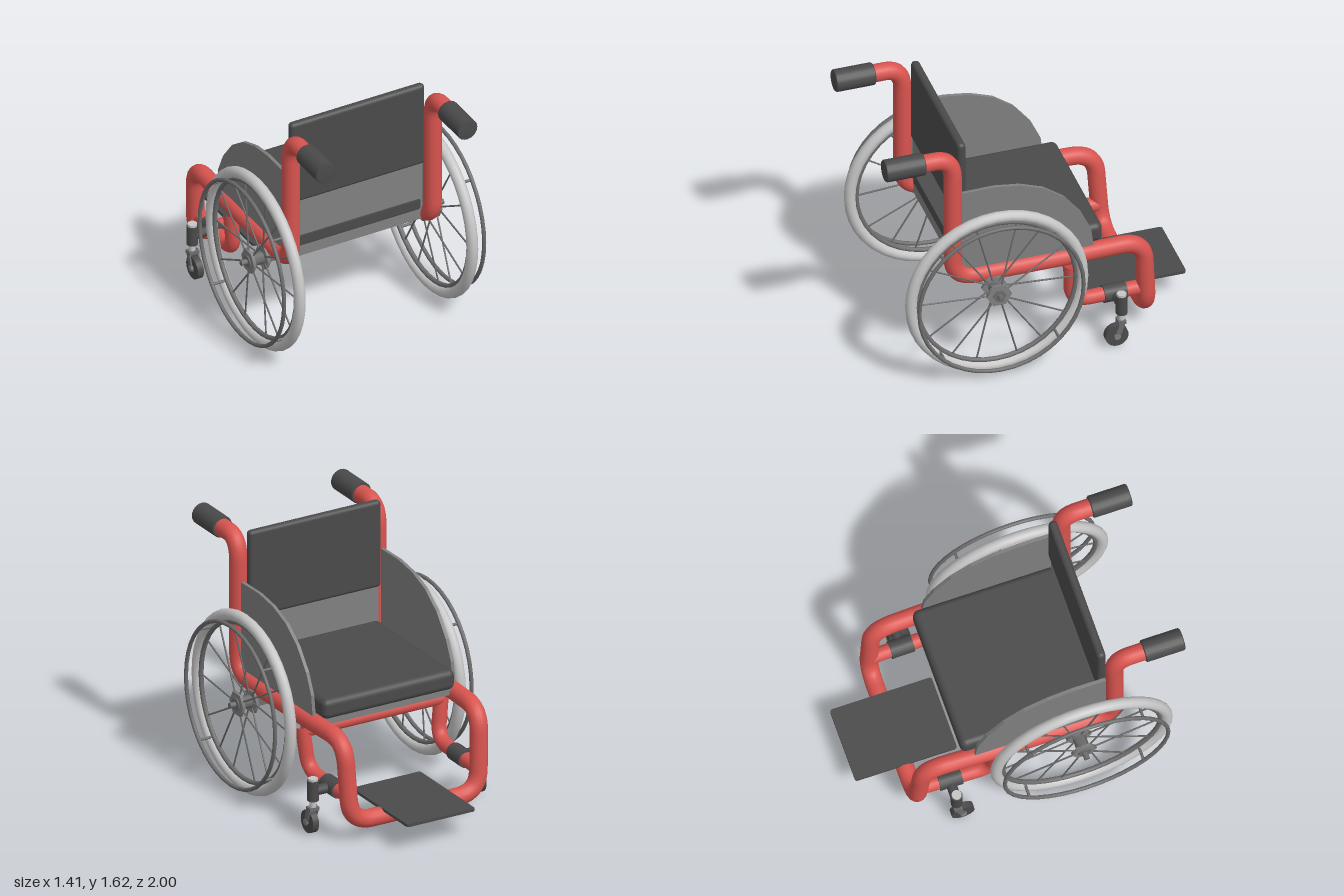
import * as THREE from 'three';
import { RoundedBoxGeometry } from 'three/addons/geometries/RoundedBoxGeometry.js';

const mat = (name, color, side = THREE.FrontSide) => {
  const m = new THREE.MeshStandardMaterial({ color, side });
  m.name = name;
  return m;
};
const V = (x, y, z) => new THREE.Vector3(x, y, z);

export function createModel() {
  const root = new THREE.Group();
  root.name = 'wheelchair';
  const red = mat('frame red', 0xd9544f);
  const dark = mat('dark padding', 0x4a4a4a);
  const grey = mat('panel grey', 0x808080);
  const light = mat('tyre light grey', 0xc6c6c6);
  const metal = mat('rim grey', 0x6c6c6c);

  const add = (parent, name, geo, material, pos = [0, 0, 0]) => {
    const m = new THREE.Mesh(geo, material);
    m.name = name;
    m.position.set(...pos);
    parent.add(m);
    return m;
  };

  // polyline with rounded corners, swept as a tube
  const tube = (pts, r, bend, segs) => {
    const path = new THREE.CurvePath();
    let last = pts[0];
    for (let i = 1; i < pts.length - 1; i++) {
      const p = pts[i];
      const toward = (q) => p.clone().add(
        q.clone().sub(p).setLength(Math.min(bend, q.distanceTo(p) * 0.48)));
      const a = toward(pts[i - 1]), b = toward(pts[i + 1]);
      path.add(new THREE.LineCurve3(last, a));
      path.add(new THREE.QuadraticBezierCurve3(a, p, b));
      last = b;
    }
    path.add(new THREE.LineCurve3(last, pts[pts.length - 1]));
    return new THREE.TubeGeometry(path, segs, r, 16, false);
  };

  // straight rod between two points
  const rod = (parent, name, a, b, r, material, sides = 12) => {
    const m = add(parent, name, new THREE.CylinderGeometry(r, r, a.distanceTo(b), sides), material);
    m.position.copy(a).add(b).multiplyScalar(0.5);
    m.quaternion.setFromUnitVectors(V(0, 1, 0), b.clone().sub(a).normalize());
    return m;
  };

  // main frame: one continuous tube from handle to handle
  const half = [
    V(0.49, 1.555, 0.8), V(0.49, 1.555, 0.565), V(0.49, 0.665, 0.565),
    V(0.49, 0.665, -0.15), V(0.475, 0.665, -0.65), V(0.45, 0.138, -0.682),
  ];
  const other = half.map((p) => V(-p.x, p.y, p.z)).reverse();
  add(root, 'mainFrame', tube([...half, ...other], 0.056, 0.15, 360), red);

  // caster tubes joined under the seat
  const low = [V(0.445, 0.3, -0.66), V(0.455, 0.3, -0.2), V(0.49, 0.6, -0.185)];
  for (const s of [1, -1]) {
    add(root, 'casterTube', tube(low.map((p) => V(s * p.x, p.y, p.z)), 0.046, 0.12, 50), red);
  }
  rod(root, 'crossTube', V(-0.48, 0.57, -0.19), V(0.48, 0.57, -0.19), 0.045, red, 16);

  // seat, backrest and footplate
  add(root, 'seatPan', new THREE.BoxGeometry(0.9, 0.04, 0.88), grey, [0, 0.685, 0.06]);
  add(root, 'seatCushion', new RoundedBoxGeometry(0.93, 0.13, 0.915, 3, 0.04), dark, [0, 0.765, 0.057]);
  add(root, 'backPad', new RoundedBoxGeometry(0.93, 0.57, 0.055, 3, 0.025), dark, [0, 1.335, 0.497]);
  add(root, 'backPanel', new THREE.BoxGeometry(0.9, 0.41, 0.025), grey, [0, 0.86, 0.5]);
  const plate = new THREE.Shape();
  const w = 0.24, d = 0.325, c = 0.02;
  plate.moveTo(-w + c, -d).lineTo(w - c, -d).quadraticCurveTo(w, -d, w, -d + c)
    .lineTo(w, d - c).quadraticCurveTo(w, d, w - c, d)
    .lineTo(-w + c, d).quadraticCurveTo(-w, d, -w, d - c)
    .lineTo(-w, -d + c).quadraticCurveTo(-w, -d, -w + c, -d);
  add(root, 'footplate', new THREE.ExtrudeGeometry(plate, { depth: 0.018, bevelEnabled: false })
    .rotateX(-Math.PI / 2), dark, [0, 0.177, -0.675]);

  // side guard outline in (z, y)
  const guard = new THREE.Shape([
    [0.51, 0.69], [0.51, 1.285], [0.3, 1.288], [0.14, 1.265], [-0.01, 1.21],
    [-0.14, 1.115], [-0.25, 0.975], [-0.31, 0.845], [-0.33, 0.69],
  ].map(([z, y]) => new THREE.Vector2(-z, y)));
  const guardGeo = new THREE.ExtrudeGeometry(guard, { depth: 0.022, bevelEnabled: false })
    .translate(0, 0, -0.011).rotateY(Math.PI / 2);

  // axle between the wheels
  add(root, 'axleBar', new THREE.BoxGeometry(1.08, 0.065, 0.06), metal, [0, 0.587, 0.32]);

  const spokeAngles = [0, 30, 55, 75, 105, 125, 150, 180, 210, 235, 255, 285, 305, 330];
  const hex = (r, h) => new THREE.CylinderGeometry(r, r, h, 6).toNonIndexed()
    .rotateZ(Math.PI / 2);

  for (const s of [1, -1]) {
    add(root, 'sideGuard', guardGeo, grey, [s * 0.492, 0, 0]);

    // hand grip
    const grip = new THREE.LatheGeometry([
      [0, -0.125], [0.064, -0.125], [0.07, -0.118], [0.07, 0.118], [0.064, 0.125], [0, 0.125],
    ].map(([x, y]) => new THREE.Vector2(x, y)), 20).rotateX(Math.PI / 2);
    add(root, 'handGrip', grip, dark, [s * 0.49, 1.555, 0.875]);

    // big wheel, local x pointing outward
    const wheel = new THREE.Group();
    wheel.name = 'rearWheel';
    wheel.position.set(0, 0.587, 0.32);
    root.add(wheel);
    const ring = (name, R, r, x, m) => add(wheel, name,
      new THREE.TorusGeometry(R, r, 12, 40).rotateY(Math.PI / 2), m, [s * x, 0, 0]);
    ring('tyre', 0.545, 0.036, 0.597, light);
    ring('rim', 0.503, 0.015, 0.597, metal);
    ring('pushRim', 0.522, 0.0125, 0.692, metal);
    rod(wheel, 'axlePin', V(s * 0.5, 0, 0), V(s * 0.7, 0, 0), 0.018, metal);
    for (const x of [0.545, 0.642]) {
      const h = add(wheel, 'hubFlange', hex(0.08, 0.02), grey, [s * x, 0, 0]);
      h.rotation.x = 0;
    }
    add(wheel, 'hubCore', hex(0.042, 0.12), metal, [s * 0.6, 0, 0]);
    spokeAngles.forEach((deg, i) => {
      const a = deg * Math.PI / 180, y = Math.sin(a), z = Math.cos(a);
      rod(wheel, 'spoke', V(s * (i % 2 ? 0.555 : 0.638), y * 0.05, z * 0.05),
        V(s * 0.597, y * 0.5, z * 0.5), 0.0055, metal, 6);
    });
    for (let i = 0; i < 4; i++) {
      const a = Math.PI * (0.25 + i / 2), y = Math.sin(a) * 0.515, z = Math.cos(a) * 0.515;
      rod(wheel, 'pushRimPost', V(s * 0.6, y, z), V(s * 0.692, y, z), 0.009, metal, 8);
    }

    // caster: clamp on the tube, arm, pivot, fork and small wheel
    const caster = new THREE.Group();
    caster.name = 'caster';
    root.add(caster);
    rod(caster, 'clamp', V(s * 0.45, 0.3, -0.4), V(s * 0.448, 0.3, -0.545), 0.056, dark, 16);
    rod(caster, 'arm', V(s * 0.45, 0.3, -0.475), V(s * 0.59, 0.3, -0.475), 0.032, dark, 12);
    rod(caster, 'pivot', V(s * 0.59, 0.24, -0.475), V(s * 0.59, 0.37, -0.475), 0.036, dark, 16);
    rod(caster, 'pivotCap', V(s * 0.59, 0.36, -0.475), V(s * 0.59, 0.385, -0.475), 0.03, light, 16);
    rod(caster, 'stem', V(s * 0.59, 0.19, -0.475), V(s * 0.59, 0.25, -0.475), 0.02, light, 12);
    add(caster, 'forkCrown', new THREE.BoxGeometry(0.066, 0.022, 0.05), metal, [s * 0.59, 0.185, -0.472]);
    for (const k of [-0.029, 0.029]) {
      const leg = add(caster, 'forkLeg', new THREE.BoxGeometry(0.009, 0.13, 0.034), metal,
        [s * 0.59 + k, 0.135, -0.456]);
      leg.rotation.x = -0.33;
    }
    rod(caster, 'casterWheel', V(s * 0.59 - 0.021, 0.09, -0.44), V(s * 0.59 + 0.021, 0.09, -0.44),
      0.073, dark, 24);
    rod(caster, 'casterHub', V(s * 0.59 - 0.037, 0.09, -0.44), V(s * 0.59 + 0.037, 0.09, -0.44),
      0.02, grey, 12);
  }
  return root;
}
